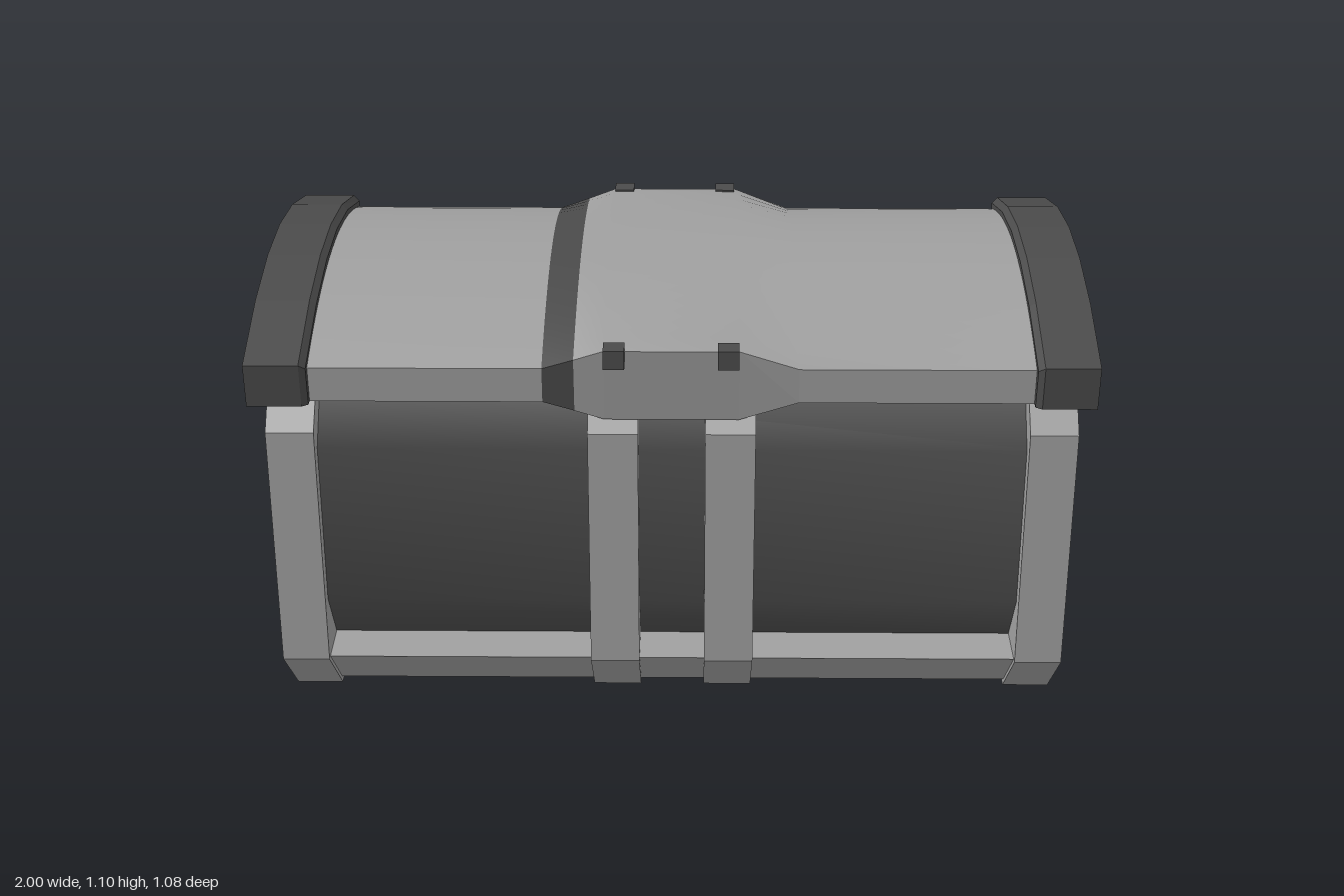
import * as THREE from 'three';

export function createModel() {
  const model = new THREE.Group();
  const light = new THREE.MeshStandardMaterial({ color: 0xa0a0a0 });
  light.name = 'light grey';
  const dark = new THREE.MeshStandardMaterial({ color: 0x4b4b4b });
  dark.name = 'dark grey';

  const add = (name, geometry, material) => {
    const mesh = new THREE.Mesh(geometry, material);
    mesh.name = name;
    model.add(mesh);
    return mesh;
  };

  // Prism along x from half of a symmetric [z, y] outline, listed bottom to top
  const prism = (half, x0, x1) => {
    const all = [...half, ...half.map(([z, y]) => [-z, y]).reverse()];
    const shape = new THREE.Shape(all.map(([z, y]) => new THREE.Vector2(z, y)));
    return new THREE.ExtrudeGeometry(shape, { depth: x1 - x0, bevelEnabled: false })
      .rotateY(Math.PI / 2).translate(x0, 0, 0);
  };

  // Surface through rows of points; rows advance in +x
  const loft = (rows, smooth) => {
    const n = rows[0].length, index = [];
    for (let i = 0; i < rows.length - 1; i++) {
      for (let j = 0; j < n - 1; j++) {
        const a = i * n + j, b = a + n;
        index.push(a, b, a + 1, b, b + 1, a + 1);
      }
    }
    let g = new THREE.BufferGeometry();
    g.setAttribute('position', new THREE.Float32BufferAttribute(rows.flat(2), 3));
    g.setIndex(index);
    if (!smooth) g = g.toNonIndexed();
    g.computeVertexNormals();
    return g;
  };

  // Four octagonal ribs
  const ribOutline = [[0.33, 0], [0.51, 0.18], [0.51, 0.81], [0.43, 0.89]];
  for (const [x0, x1] of [[-0.965, -0.85], [-0.2, -0.08], [0.08, 0.2], [0.85, 0.965]]) {
    add('rib', prism(ribOutline, x0, x1), light);
  }

  // Base tray with a ledge
  add('base', prism([[0.335, 0.02], [0.495, 0.18]], -0.9, 0.9), light);

  // Bulging side panels behind the ribs
  const panel = [[0.365, 0.17], [0.47, 0.33], [0.47, 0.75], [0.35, 0.89]];
  const front = [-0.9, 0.9].map(x => panel.map(([z, y]) => [x, y, z]));
  add('frontPanel', loft(front, true), dark);
  add('backPanel', loft(front, true).rotateY(Math.PI), dark);

  // Lid: k is how far the middle flange swells at that station
  const section = (x, k) => {
    const low = 0.89 - 0.05 * k, edge = 0.98 + 0.05 * k, w = 0.507 + 0.011 * k;
    const foot = 0.5 - 0.01 * k, top = [];
    for (let j = 0; j <= 20; j++) {
      const t = 1 - j / 10;
      top.push([x, edge + (1.07 - edge) * (1 - t * t), w * t]);
    }
    return {
      top,
      front: [[x, low, foot], [x, edge, w]],
      back: [[x, edge, -w], [x, low, -foot]],
      under: [[x, low, -foot], [x, 0.89, -0.43], [x, 0.89, 0.43], [x, low, foot]],
    };
  };
  const lidPart = (name, stations, material) => {
    const s = stations.map(([x, k]) => section(x, k));
    for (const side of ['top', 'front', 'back', 'under']) {
      add(`${name} ${side}`, loft(s.map(p => p[side]), side === 'top'), material);
    }
  };
  lidPart('lidRight', [[-0.88, 0], [-0.305, 0]], light);
  lidPart('lidBand', [[-0.305, 0], [-0.23, 0.5]], dark);
  lidPart('lidLeft', [[-0.23, 0.5], [-0.16, 1], [0.16, 1], [0.3, 0], [0.88, 0]], light);

  // Arched end caps with a bevelled inner rim
  const capOutline = [[0.53, 0.89], [0.54, 1.0], [0.31, 1.065], [0.1, 1.095]];
  for (const s of [-1, 1]) {
    add('endCap', s > 0 ? prism(capOutline, 0.87, 1) : prism(capOutline, -1, -0.87), dark);
    const rim = s > 0 ? prism(capOutline, 0.855, 0.87) : prism(capOutline, -0.87, -0.855);
    const p = rim.attributes.position;
    for (let i = 0; i < p.count; i++) {
      if (Math.abs(p.getX(i)) < 0.86) {
        p.setZ(i, p.getZ(i) * 0.98);
        p.setY(i, p.getY(i) - (p.getY(i) > 0.95 ? 0.012 : 0));
      }
    }
    rim.computeVertexNormals();
    add('endCapRim', rim, dark);
  }

  // Small clips on the flange, front and back
  for (const x of [-0.135, 0.133]) {
    for (const s of [-1, 1]) {
      add('clip', new THREE.BoxGeometry(0.05, 0.048, 0.05), dark).position.set(x, 1.015, s * 0.511);
    }
  }

  return model;
}
